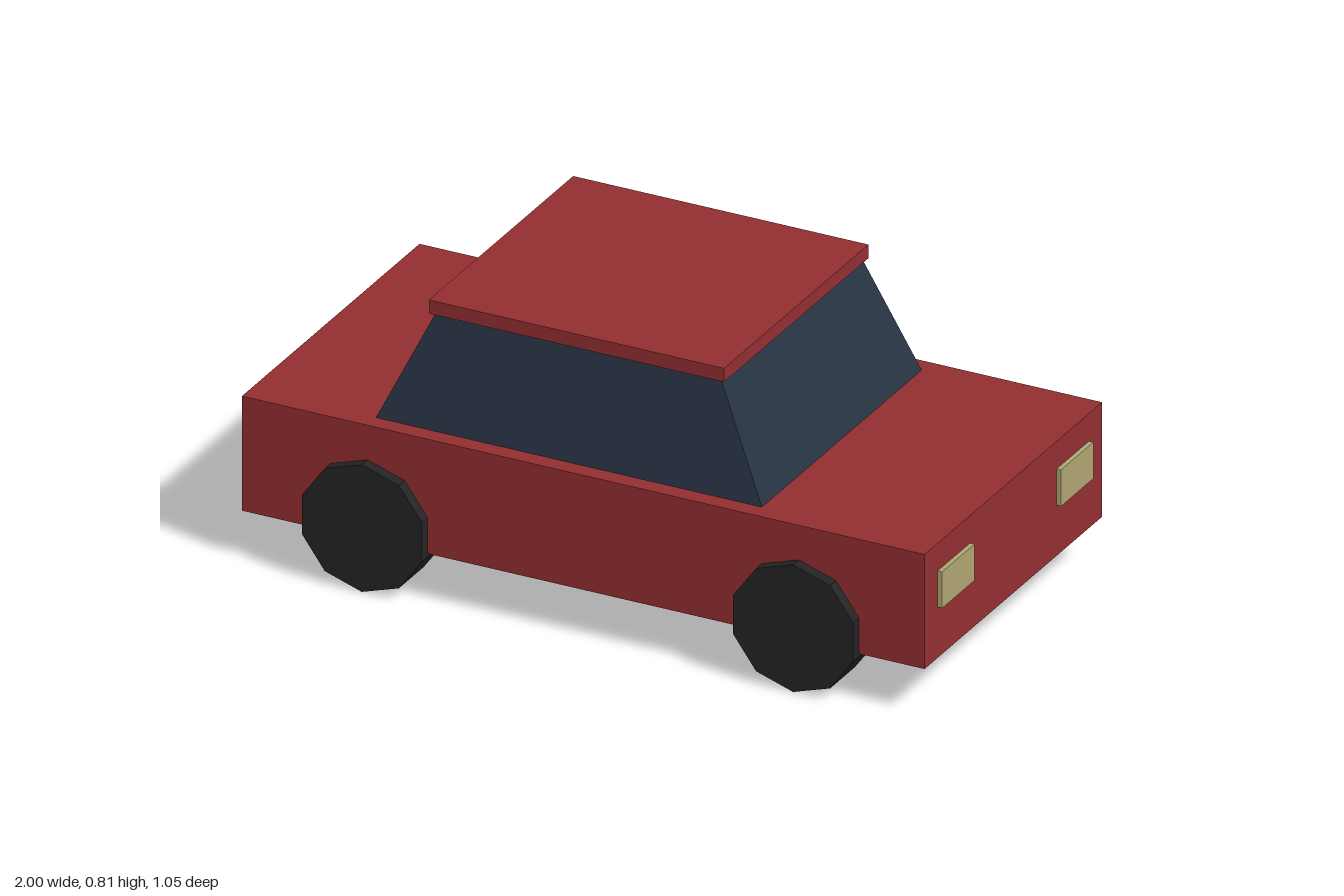
import * as THREE from 'three';

const mat = (name, color) => {
  const m = new THREE.MeshStandardMaterial({ color });
  m.name = name;
  return m;
};

export function createModel() {
  const car = new THREE.Group();
  car.name = 'car';
  const paint = mat('red paint', 0x922e30);
  const glass = mat('dark blue glass', 0x273342);
  const rubber = mat('black rubber', 0x232323);
  const lamp = mat('cream lamp', 0xb0a472);

  const add = (name, geometry, material, x = 0, y = 0, z = 0) => {
    const mesh = new THREE.Mesh(geometry, material);
    mesh.name = name;
    mesh.position.set(x, y, z);
    car.add(mesh);
  };

  // Box given by its limits; depth is centred on z
  const block = (name, material, x0, x1, y0, y1, depth, z = 0) =>
    add(name, new THREE.BoxGeometry(x1 - x0, y1 - y0, depth), material, (x0 + x1) / 2, (y0 + y1) / 2, z);

  block('body', paint, -0.987, 0.985, 0.135, 0.463, 0.986);
  block('roof', paint, -0.495, 0.358, 0.772, 0.811, 0.802);

  // Cabin: a box whose upper corners lean inwards
  const cabin = new THREE.BoxGeometry(1, 1, 1);
  const p = cabin.attributes.position;
  for (let i = 0; i < p.count; i++) {
    const top = p.getY(i) > 0;
    const [back, front, side] = top ? [-0.48, 0.344, 0.391] : [-0.626, 0.49, 0.444];
    p.setXYZ(i, p.getX(i) > 0 ? front : back, top ? 0.773 : 0.462, Math.sign(p.getZ(i)) * side);
  }
  cabin.computeVertexNormals();
  add('cabin', cabin, glass);

  // Ten-sided wheels with a corner at the bottom
  const wheel = new THREE.CylinderGeometry(0.182, 0.182, 0.138, 10).toNonIndexed();
  wheel.rotateX(Math.PI / 2);
  wheel.computeVertexNormals();

  for (const s of [1, -1]) {
    const side = s > 0 ? 'Left' : 'Right';
    add('frontWheel' + side, wheel, rubber, 0.622, 0.182, s * 0.456);
    add('rearWheel' + side, wheel, rubber, -0.624, 0.182, s * 0.456);
    block('headlight' + side, lamp, 0.96, 0.998, 0.28, 0.384, 0.18, s * 0.33);
    block('tailLight' + side, paint, -1, -0.96, 0.29, 0.374, 0.18, s * 0.33);
  }
  return car;
}
